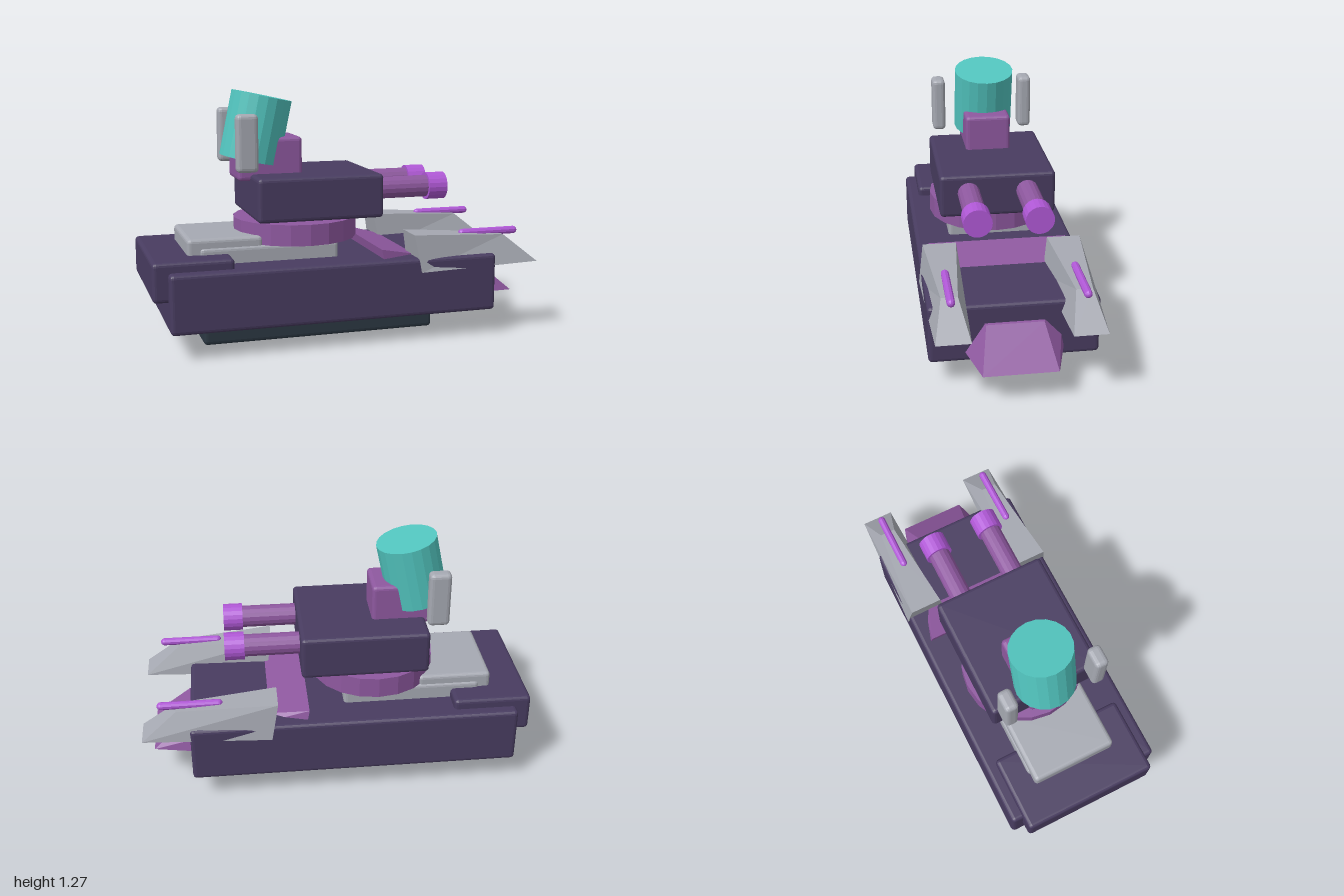
import * as THREE from 'three';
import { RoundedBoxGeometry } from 'three/addons/geometries/RoundedBoxGeometry.js';

export function createModel() {
  const model = new THREE.Group();
  model.name = 'tank';

  const mat = (name, color) => {
    const m = new THREE.MeshStandardMaterial({ color, flatShading: true });
    m.name = name;
    return m;
  };
  const armor = mat('dark violet armor', 0x483c60);
  const belly = mat('dark slate', 0x2c3843);
  const purple = mat('purple', 0x8e589f);
  const bright = mat('bright purple', 0xb058d6);
  const teal = mat('teal', 0x52c5bf);
  const grey = mat('light grey', 0xa6a9b2);

  const add = (name, geometry, material, x = 0, y = 0, z = 0) => {
    const mesh = new THREE.Mesh(geometry, material);
    mesh.name = name;
    mesh.position.set(x, y, z);
    model.add(mesh);
    return mesh;
  };

  // Rounded block given by its extents in x and y and its half width in z
  const block = (name, material, [x0, x1], [y0, y1], halfZ, z = 0, r = 0.02) =>
    add(name, new RoundedBoxGeometry(x1 - x0, y1 - y0, halfZ * 2, 2, r), material,
      (x0 + x1) / 2, (y0 + y1) / 2, z);

  // Wedge: a box whose four end edges are each placed at [x, y, half width]
  const wedge = (name, material, rearTop, rearBottom, frontTop, frontBottom, z = 0) => {
    const geometry = new THREE.BoxGeometry(1, 1, 1);
    const p = geometry.attributes.position;
    for (let i = 0; i < p.count; i++) {
      const top = p.getY(i) > 0;
      const edge = p.getX(i) > 0 ? (top ? frontTop : frontBottom) : (top ? rearTop : rearBottom);
      p.setXYZ(i, edge[0], edge[1], Math.sign(p.getZ(i)) * edge[2]);
    }
    geometry.computeVertexNormals();
    return add(name, geometry, material, 0, 0, z);
  };

  // Hull
  block('undercarriage', belly, [-0.73, 0.495], [0, 0.16], 0.19);
  block('hull', armor, [-0.925, 0.757], [0.13, 0.427], 0.415);
  block('rearBlock', armor, [-1, -0.6], [0.28, 0.477], 0.357);
  block('rearDeck', grey, [-0.81, -0.43], [0.4, 0.555], 0.226);
  block('turretBase', grey, [-0.75, -0.04], [0.38, 0.51], 0.235);
  wedge('plow', purple, [0.15, 0.475, 0.36], [0.2, 0.22, 0.4], [0.77, 0.327, 0.14], [0.96, 0.165, 0.18]);

  // Turret
  add('turretRing', new THREE.CylinderGeometry(0.32, 0.32, 0.107, 20), purple, -0.21, 0.562, 0);
  block('turret', armor, [-0.468, 0.182], [0.627, 0.85], 0.297);
  block('headBase', purple, [-0.53, -0.195], [0.815, 1.032], 0.119);
  add('headDrum', new THREE.CylinderGeometry(0.156, 0.156, 0.332, 20), teal, -0.412, 1.075, 0)
    .rotation.z = -THREE.MathUtils.degToRad(12);

  // Paired parts
  for (const [side, s] of [['left', 1], ['right', -1]]) {
    block(side + 'Ear', grey, [-0.565, -0.455], [0.878, 1.163], 0.035, s * 0.238, 0.022);
    add(side + 'Barrel', new THREE.CylinderGeometry(0.057, 0.057, 0.36, 16), purple, 0.3, 0.757, s * 0.15)
      .rotation.z = -Math.PI / 2;
    add(side + 'Muzzle', new THREE.CylinderGeometry(0.071, 0.071, 0.1, 20), bright, 0.511, 0.757, s * 0.15)
      .rotation.z = -Math.PI / 2;
    wedge(side + 'Claw', grey, [0.31, 0.547, 0.084], [0.345, 0.357, 0.109],
      [0.82, 0.515, 0.04], [0.998, 0.37, 0.083], s * 0.316);
    add(side + 'ClawRod', new THREE.CapsuleGeometry(0.02, 0.29, 4, 10), bright, 0.75, 0.528, s * 0.316)
      .rotation.z = -Math.PI / 2;
  }
  return model;
}
